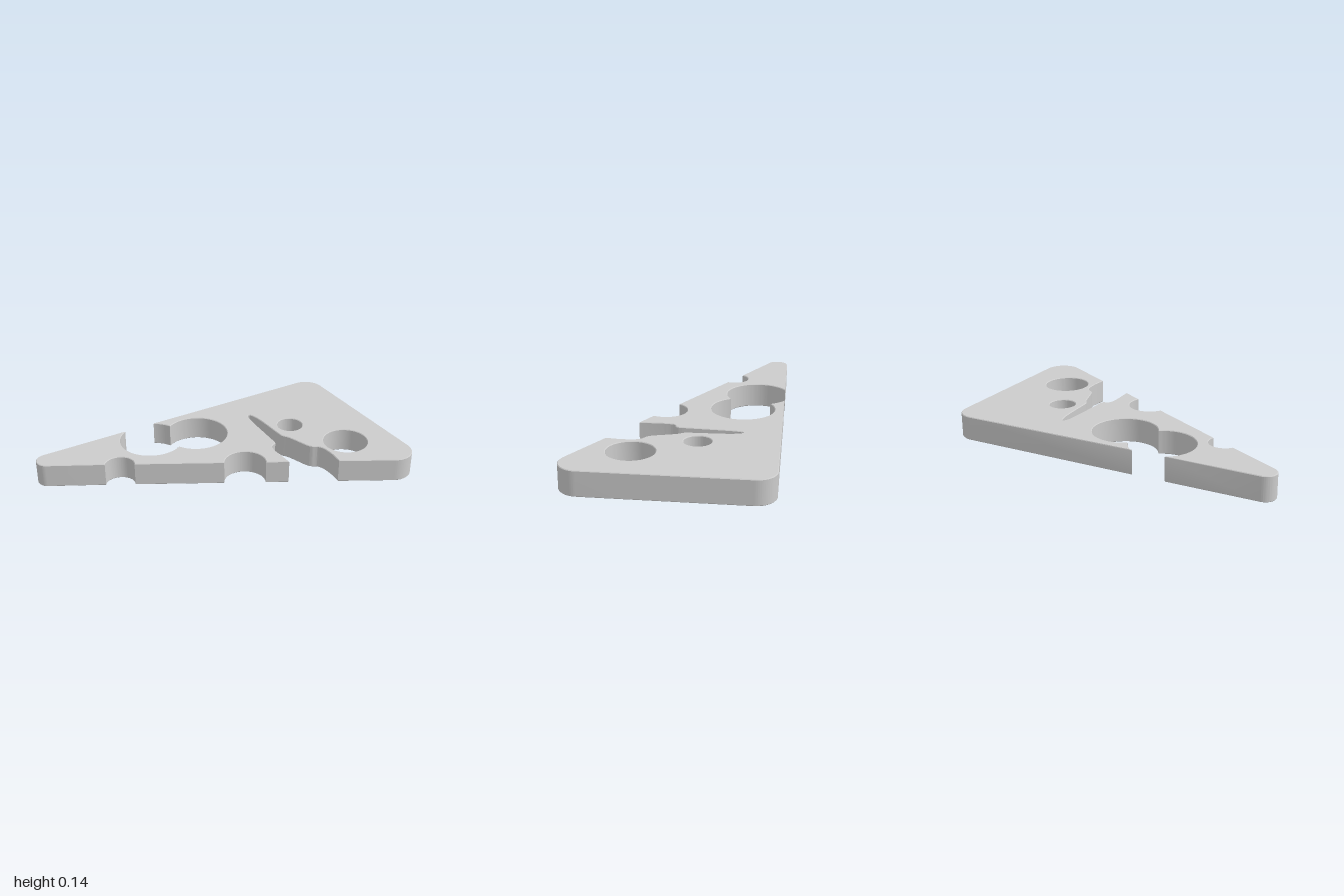
import * as THREE from 'three';
import { toCreasedNormals } from 'three/addons/utils/BufferGeometryUtils.js';

const HEIGHT = 0.145;
const BEVEL = 0.004;

// Arc about (cx, cz), running from the bearing of one point to that of another.
// Plan coordinates are (x, z); the shape's y is -z.
function arc(path, cx, cz, r, from, to, clockwise = false) {
  const angle = ([x, z]) => Math.atan2(cz - z, x - cx);
  path.absarc(cx, -cz, r, angle(from), angle(to), clockwise);
}

function hole(cx, cz, r) {
  const path = new THREE.Path();
  path.absarc(cx, -cz, r, 0, Math.PI * 2, true);
  return path;
}

function curveThrough(path, points) {
  path.lineTo(points[0][0], -points[0][1]);
  path.splineThru(points.slice(1).map(([x, z]) => new THREE.Vector2(x, -z)));
}

function plateShape() {
  const s = new THREE.Shape();
  // Rounded narrow tip
  s.moveTo(-0.935, 0.567);
  arc(s, -0.935, -0.502, 0.065, [-0.935, -0.567], [-0.967, -0.445]);

  // Sloping edge with two round notches
  arc(s, -0.592, -0.235, 0.087, [-0.665, -0.283], [-0.512, -0.198], true);
  arc(s, 0.052, 0.118, 0.123, [-0.058, 0.055], [0.16, 0.178], true);

  // Slot: wide mouth narrowing to a slender pointed end
  s.lineTo(0.28, -0.242);
  curveThrough(s, [[0.277, 0.1], [0.284, 0.05], [0.3, 0.034], [0.322, 0.026],
    [0.331, 0.005], [0.335, -0.06], [0.345, -0.25], [0.354, -0.33], [0.37, -0.355],
    [0.386, -0.33], [0.398, -0.25], [0.405, -0.06], [0.412, -0.025], [0.435, 0.015],
    [0.473, 0.135], [0.493, 0.168], [0.523, 0.19], [0.54, 0.225], [0.545, 0.3],
    [0.536, 0.385]]);

  // Two rounded corners of the wide end
  arc(s, 0.885, 0.449, 0.115, [0.829, 0.548], [1, 0.449]);
  arc(s, 0.885, -0.452, 0.115, [1, -0.452], [0.885, -0.567]);

  // Pair of overlapping round cutouts, open to the back edge
  arc(s, -0.298, -0.403, 0.191, [-0.2, -0.567], [-0.13, -0.49], true);
  arc(s, -0.025, -0.327, 0.188, [-0.13, -0.486], [-0.193, -0.243], true);
  arc(s, -0.298, -0.403, 0.191, [-0.195, -0.242], [-0.396, -0.567], true);
  s.closePath();

  s.holes.push(hole(0.525, -0.119, 0.078), hole(0.705, 0.218, 0.134));
  return s;
}

export function createModel() {
  const group = new THREE.Group();
  group.name = 'triangularPlate';

  const geometry = new THREE.ExtrudeGeometry(plateShape(), {
    depth: HEIGHT - 2 * BEVEL,
    curveSegments: 40,
    bevelEnabled: true,
    bevelSegments: 1,
    bevelSize: BEVEL,
    bevelThickness: BEVEL,
    bevelOffset: -BEVEL,
  });
  geometry.translate(0, 0, BEVEL);
  geometry.rotateX(-Math.PI / 2);

  const plate = new THREE.Mesh(
    toCreasedNormals(geometry, Math.PI / 6),
    new THREE.MeshStandardMaterial({ color: 0xcccccc })
  );
  plate.name = 'plate';
  group.add(plate);
  return group;
}
